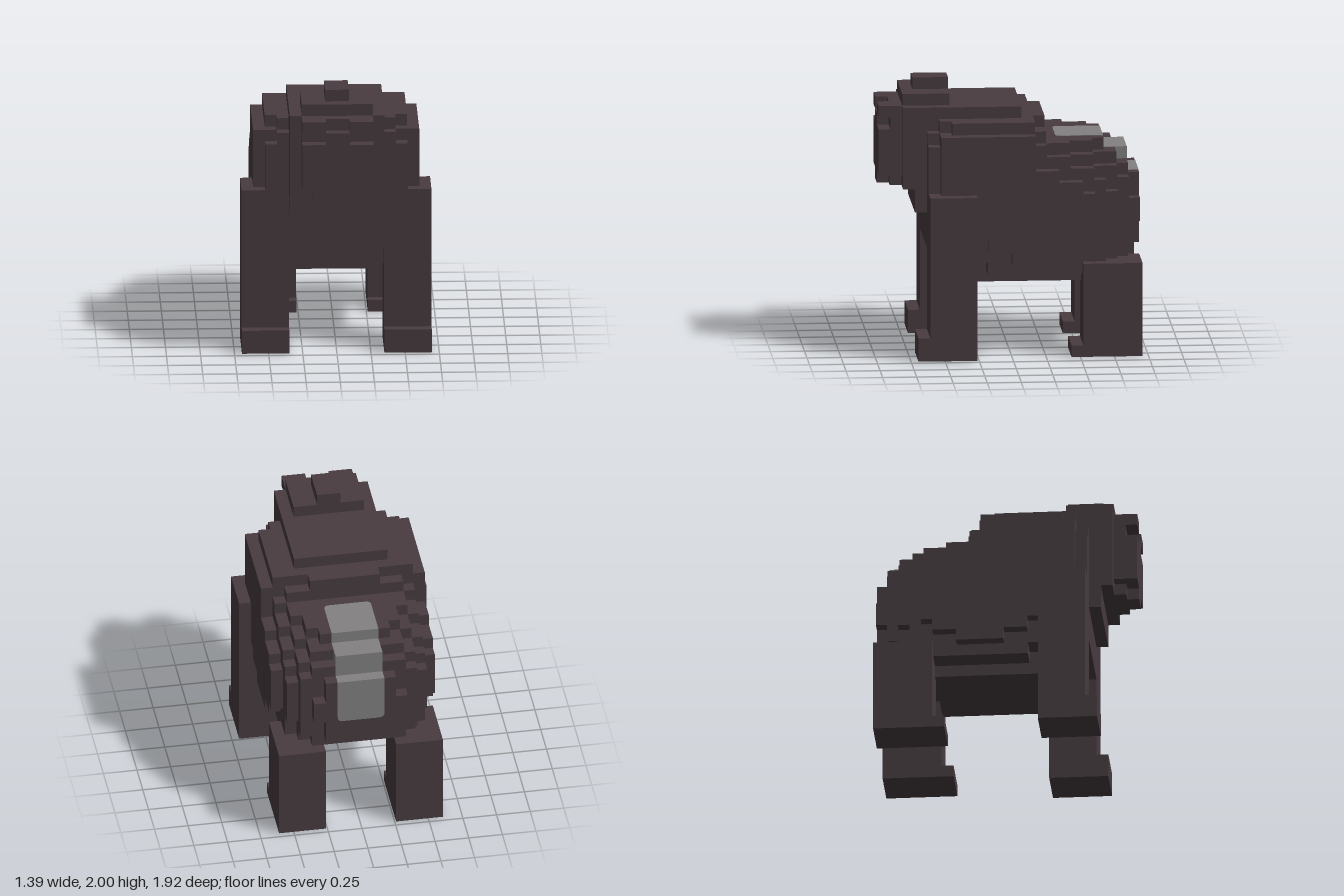
import * as THREE from 'three';

const U = 2 / 23; // one block

export function createModel() {
  const fur = new THREE.MeshStandardMaterial({ color: 0x483c41 });
  fur.name = 'dark fur';
  const silver = new THREE.MeshStandardMaterial({ color: 0x838181 });
  silver.name = 'silver fur';

  const model = new THREE.Group();
  model.name = 'gorilla';
  model.scale.setScalar(U);

  const part = (name) => {
    const g = new THREE.Group();
    g.name = name;
    model.add(g);
    return g;
  };
  // Box between two corners, in blocks
  const box = (parent, name, x0, x1, y0, y1, z0, z1, mat = fur) => {
    const m = new THREE.Mesh(new THREE.BoxGeometry(x1 - x0, y1 - y0, z1 - z0), mat);
    m.position.set((x0 + x1) / 2, (y0 + y1) / 2, (z0 + z1) / 2);
    m.name = name;
    parent.add(m);
  };
  // Box centred on x
  const mid = (parent, name, half, ...rest) => box(parent, name, -half, half, ...rest);

  // Torso: overlapping blocks [bottom, top, back, front] for each half width
  const torso = part('torso');
  const layer = (name, half, ...blocks) => {
    for (const b of blocks) mid(torso, name, half, ...b);
  };
  layer('flanks', 7, [11, 19, -2, 6], [10, 19, -2, 5], [9, 19, -2, 2], [8, 19, -2, 0],
    [8, 16, -4, 0], [9, 15, -6, 0], [10, 14, -7, 0]);
  layer('ribs', 6, [11, 18, -2, 7], [9, 19, -2, 6], [8, 20, -2, 5], [7, 20, -2, 2], [7, 18, -3, 0],
    [7, 17, -5, 0], [7, 16, -6, 0], [8, 15, -8, 0], [8, 16, -7, 0], [10, 14, -9, 0]);
  layer('back', 5, [10, 19, -3, 7], [8, 20, -2, 6], [7, 18, -5, 2],
    [7, 17, -7, 2], [8, 16, -9, 2], [9, 15, -10, 2]);
  layer('belly', 4, [9, 19, -3, 7], [7, 18, -7, 5], [6, 18, -6, 3], [7, 17, -8, 0]);
  layer('rump', 4, [8, 17, -9, 0], [8, 16, -10, 0], [11, 13, -11, 0]);
  layer('spine', 3, [9, 20, -3, 0], [7, 18, -8, 0], [9, 15, -11, 0]);

  // Neck and shoulder hump
  mid(model, 'neck', 4, 12, 14, 5, 8);
  mid(model, 'shoulderHump', 4, 14, 21, -1, 9);

  // Head
  const head = part('head');
  mid(head, 'skull', 3, 15, 21, 9, 10);
  mid(head, 'muzzle', 3, 15, 19, 10, 11);
  mid(head, 'noseBridge', 1, 19, 20, 10, 11);
  for (const s of [-1, 1]) box(head, 'brow', 2 * s - 1, 2 * s + 1, 20, 21, 10, 11);
  mid(head, 'jaw', 2, 14, 15, 9, 10);
  mid(head, 'chin', 1, 14, 15, 9, 11);
  mid(head, 'crest', 3, 21, 22, 5, 9);
  mid(head, 'crestTop', 1, 22, 23, 5, 8);

  // Limbs
  for (const s of [-1, 1]) {
    const side = s > 0 ? 'left' : 'right';
    const limb = (name, inner, ...rest) => {
      const x = s * (inner + 2);
      box(model, side + name, x - 2, x + 2, ...rest);
    };
    limb('Arm', 4, 0, 14, 3, 7);
    limb('Hand', 4, 0, 2, 7, 8);
    limb('HindLeg', 3, 0, 8, -11, -6);
    limb('HindFoot', 3, 0, 1, -6, -5);
  }

  // Silver saddle running over the stepped back
  const saddle = part('silverSaddle');
  const t = 0.03;
  const r = 0.45;
  const shape = new THREE.Shape();
  shape.moveTo(2, 0);
  shape.lineTo(-2, 0);
  shape.lineTo(-2, r - 4);
  shape.quadraticCurveTo(-2, -4, r - 2, -4);
  shape.lineTo(2 - r, -4);
  shape.quadraticCurveTo(2, -4, 2, r - 4);
  shape.closePath();
  const flap = (name, y, z, tilt) => {
    const geometry = new THREE.ExtrudeGeometry(shape, { depth: t, bevelEnabled: false, curveSegments: 5 });
    const m = new THREE.Mesh(geometry, silver);
    m.name = name;
    m.position.set(0, y, z);
    m.rotation.x = tilt;
    saddle.add(m);
  };
  flap('upperPanel', 18, -8, -Math.PI / 2);
  flap('rumpPanel', 15, -11 - t, 0);
  mid(saddle, 'upperStep', 2, 17, 18 + t, -8 - t, -8, silver);
  mid(saddle, 'middlePanel', 2, 17, 17 + t, -9, -8, silver);
  mid(saddle, 'ridgeBlock', 2, 16, 17 + t, -10, -9, silver);
  mid(saddle, 'lowerStep', 2, 15, 17 + t, -10 - t, -10, silver);
  mid(saddle, 'ledgePanel', 2, 15, 15 + t, -11 - t, -10, silver);

  return model;
}
